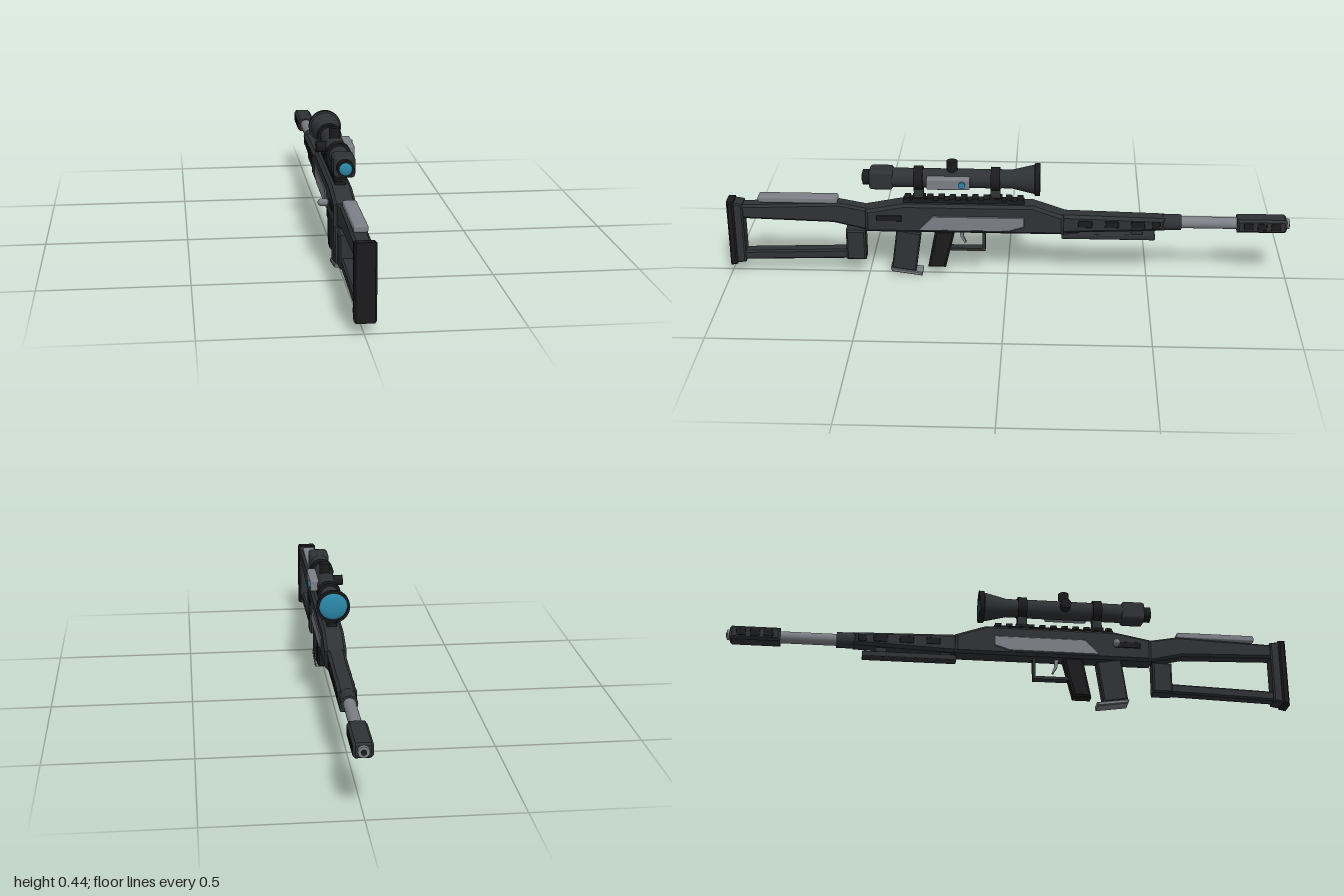
import * as THREE from 'three';
import { RoundedBoxGeometry } from 'three/addons/geometries/RoundedBoxGeometry.js';

export function createModel() {
  const model = new THREE.Group();
  model.name = 'scopedRifle';
  const body = new THREE.Group();
  body.name = 'rifle';
  body.position.x = 0.004;
  model.add(body);

  const mat = (color, extra = {}) => new THREE.MeshStandardMaterial({ color, ...extra });
  const dark = mat(0x2f3235), black = mat(0x1b1b1d), steel = mat(0x7c7f86), glass = mat(0x2a88a8);

  const add = (name, geo, material, x = 0, y = 0, z = 0) => {
    const m = new THREE.Mesh(geo, material);
    m.name = name;
    m.position.set(x, y, z);
    body.add(m);
    return m;
  };
  // Side outline of [z, y] points, extruded across x with chamfered edges
  const slab = (name, pts, width, bevel, material, x = 0) => {
    const shape = new THREE.Shape(pts.map(p => new THREE.Vector2(p[0], p[1])));
    const geo = new THREE.ExtrudeGeometry(shape, {
      depth: width - 2 * bevel, bevelEnabled: bevel > 0, bevelThickness: bevel,
      bevelSize: bevel, bevelOffset: -bevel, bevelSegments: 1,
    });
    geo.translate(0, 0, -(width - 2 * bevel) / 2);
    geo.rotateY(-Math.PI / 2);
    return add(name, geo, material, x);
  };
  const box = (name, w, h, d, material, x, y, z, r = 0) =>
    add(name, r ? new RoundedBoxGeometry(w, h, d, 2, r) : new THREE.BoxGeometry(w, h, d), material, x, y, z);
  // Cylinder along z between z0 (radius r0) and z1 (radius r1)
  const tube = (name, r0, r1, z0, z1, y, material, sides = 32) => {
    const geo = new THREE.CylinderGeometry(r1, r0, Math.abs(z1 - z0), sides);
    geo.rotateX(z1 > z0 ? Math.PI / 2 : -Math.PI / 2);
    return add(name, geo, material, 0, y, (z0 + z1) / 2);
  };
  // Shallow domed lens facing +z (dir 1) or -z (dir -1)
  const lens = (name, r, bulge, y, z, dir) => {
    const geo = new THREE.SphereGeometry(r, 32, 10, 0, Math.PI * 2, 0, Math.PI / 2);
    geo.scale(1, bulge / r, 1);
    geo.rotateX(dir * Math.PI / 2);
    return add(name, geo, glass, 0, y, z);
  };

  // Skeleton stock
  slab('buttPad', [[1, 0.285], [0.975, 0.285], [0.975, 0.038], [1, 0.033]], 0.07, 0.006, black);
  slab('buttPlate', [[0.978, 0.28], [0.944, 0.275], [0.944, 0.047], [0.978, 0.042]], 0.064, 0.005, dark);
  slab('stockTopBar', [[0.95, 0.27], [0.6, 0.283], [0.49, 0.262], [0.49, 0.178], [0.62, 0.208], [0.95, 0.218]], 0.056, 0.008, dark);
  slab('stockLowerBar', [[0.95, 0.087], [0.56, 0.1], [0.56, 0.064], [0.95, 0.052]], 0.046, 0.006, dark);
  slab('stockFrontPost', [[0.578, 0.178], [0.508, 0.178], [0.508, 0.062], [0.578, 0.062]], 0.058, 0.006, dark);
  box('cheekRest', 0.046, 0.024, 0.284, steel, 0, 0.292, 0.746, 0.007);

  // Receiver with side panels and ports
  slab('receiver', [[0.505, 0.262], [0.37, 0.288], [-0.09, 0.288], [-0.2, 0.25], [-0.2, 0.178], [0.505, 0.178]], 0.076, 0.01, dark);
  for (const s of [1, -1]) {
    slab('sidePanel', [[0.265, 0.246], [-0.06, 0.246], [-0.06, 0.21], [-0.005, 0.192], [0.315, 0.192]], 0.008, 0.002, steel, s * 0.038);
    box('receiverPort', 0.008, 0.022, 0.09, black, s * 0.037, 0.235, 0.42, 0.003);
  }

  // Bolt handle on the right side
  const handle = add('boltHandle', new THREE.CylinderGeometry(0.008, 0.008, 0.04, 16), steel, -0.045, 0.232, 0.375);
  handle.rotation.z = Math.PI / 2;
  const knob = add('boltKnob', new THREE.CapsuleGeometry(0.0125, 0.012, 6, 16), steel, -0.0585, 0.232, 0.375);
  knob.rotation.z = Math.PI / 2;

  // Top rail
  box('railBase', 0.036, 0.014, 0.43, black, 0, 0.292, 0.155);
  for (let i = 0; i < 11; i++) box('railTooth', 0.042, 0.01, 0.022, black, 0, 0.302, 0.355 - i * 0.04);

  // Magazine
  slab('magazine', [[0.396, 0.185], [0.308, 0.17], [0.33, 0.015], [0.417, 0.03]], 0.052, 0.005, dark);
  slab('magazineBase', [[0.421, 0.03], [0.305, 0.014], [0.307, 0], [0.417, 0.016]], 0.055, 0.003, steel);

  // Grip, trigger and guard
  slab('pistolGrip', [[0.258, 0.182], [0.186, 0.182], [0.222, 0.034], [0.286, 0.034]], 0.052, 0.008, black);
  box('triggerGuardBottom', 0.03, 0.01, 0.125, dark, 0, 0.104, 0.142);
  box('triggerGuardFront', 0.03, 0.085, 0.01, dark, 0, 0.141, 0.084);
  slab('trigger', [[0.174, 0.182], [0.158, 0.182], [0.157, 0.15], [0.148, 0.128], [0.154, 0.126], [0.168, 0.15]], 0.012, 0, steel);

  // Forend with vent slots, and the rail under it
  slab('forend', [[-0.19, 0.252], [-0.558, 0.243], [-0.558, 0.196], [-0.19, 0.181]], 0.062, 0.01, dark);
  for (const s of [1, -1]) for (let i = 0; i < 4; i++)
    box('ventSlot', 0.007, 0.026, i < 3 ? 0.05 : 0.03, black, s * 0.03, 0.22, [-0.276, -0.37, -0.462, -0.526][i], 0.003);
  box('underRail', 0.042, 0.02, 0.332, dark, 0, 0.165, -0.359, 0.004);
  for (const z of [-0.23, -0.46]) box('underRailMount', 0.026, 0.03, 0.04, dark, 0, 0.184, z);

  // Barrel and muzzle brake
  const by = 0.22;
  tube('barrelCollar', 0.028, 0.028, -0.55, -0.616, by, dark);
  tube('barrel', 0.021, 0.021, -0.6, -0.83, by, steel);
  slab('muzzleBrake', [[-0.812, by + 0.025], [-0.98, by + 0.025], [-0.987, by + 0.018], [-0.987, by - 0.018], [-0.98, by - 0.025], [-0.812, by - 0.025]], 0.064, 0.008, dark);
  for (const s of [1, -1]) for (let i = 0; i < 3; i++)
    box('brakeSlot', 0.007, 0.026, 0.034, black, s * 0.0305, by, -0.852 - i * 0.048, 0.003);
  tube('muzzleCrown', 0.02, 0.018, -0.98, -0.997, by, steel);
  tube('bore', 0.009, 0.009, -0.985, -1, by, black, 20);

  // Scope
  const sy = 0.378;
  tube('scopeTube', 0.034, 0.034, 0.42, 0.02, sy, dark);
  box('eyepieceHousing', 0.071, 0.072, 0.085, dark, 0, sy, 0.445, 0.012);
  tube('eyepiece', 0.028, 0.028, 0.47, 0.51, sy, black);
  lens('eyepieceLens', 0.022, 0.008, sy, 0.508, 1);
  const bell = [[0, 0.04], [0.033, 0.04], [0.033, -0.015], [0.052, -0.095], [0.058, -0.097], [0.058, -0.115], [0.05, -0.115], [0.05, -0.1], [0, -0.1]];
  // Each segment is lathed on its own to keep the edges crisp
  for (let i = 0; i < bell.length - 1; i++) {
    const geo = new THREE.LatheGeometry([bell[i], bell[i + 1]].map(p => new THREE.Vector2(p[0], -p[1])), 40);
    geo.rotateX(-Math.PI / 2);
    add('objectiveBell', geo, i > 3 ? black : dark, 0, sy).material.side = THREE.DoubleSide;
  }
  lens('objectiveLens', 0.05, 0.014, sy, -0.102, -1);

  // Scope rings and mounts
  for (const z of [0.314, 0.042]) {
    tube('scopeRing', 0.042, 0.042, z - 0.016, z + 0.016, sy, black);
    box('mountPost', 0.03, 0.05, 0.034, dark, 0, 0.322, z);
    box('mountFoot', 0.036, 0.012, 0.046, black, 0, 0.304, z);
  }

  // Adjustment turrets and side module
  add('topTurret', new THREE.CylinderGeometry(0.019, 0.019, 0.04, 24), black, 0, 0.425, 0.195);
  const side = add('sideTurret', new THREE.CylinderGeometry(0.019, 0.019, 0.04, 24), black, -0.044, sy, 0.195);
  side.rotation.z = Math.PI / 2;
  box('sideModule', 0.032, 0.042, 0.152, steel, 0.043, sy, 0.207, 0.006);
  const dot = add('moduleLens', new THREE.CylinderGeometry(0.012, 0.012, 0.012, 24), glass, 0.06, sy, 0.158);
  dot.rotation.z = Math.PI / 2;

  return model;
}
